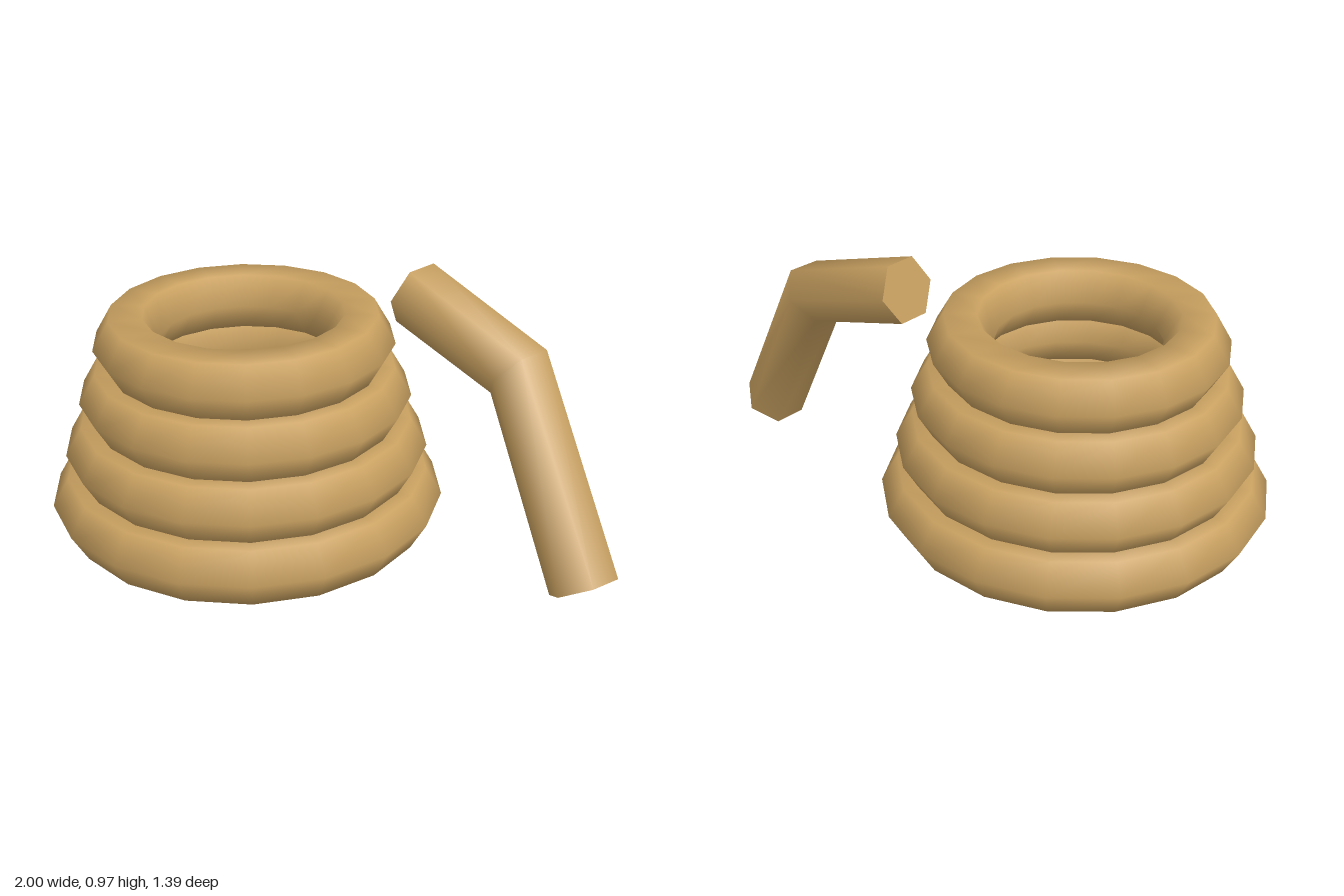
import * as THREE from 'three';

const ROPE = 0.118; // rope radius, six-sided section

// Bent rope piece: a six-sided cylinder whose three rings are placed along a path
function bentRope(points) {
  const [p0, p1, p2] = points;
  const first = p1.clone().sub(p0).normalize();
  const last = p2.clone().sub(p1).normalize();
  const middle = first.clone().add(last).normalize();
  const side = new THREE.Vector3(0, 1, 0).cross(middle).normalize();

  const frames = [first, middle, last].map((t, i) => {
    const b = side.clone().addScaledVector(t, -side.dot(t)).normalize();
    const n = t.clone().cross(b);
    return { basis: new THREE.Matrix4().makeBasis(n, t, b), centre: points[i] };
  });

  const geo = new THREE.CylinderGeometry(ROPE, ROPE, 2, 6, 2);
  const pos = geo.attributes.position;
  const nor = geo.attributes.normal;
  const v = new THREE.Vector3();
  for (let i = 0; i < pos.count; i++) {
    v.fromBufferAttribute(pos, i);
    const { basis, centre } = frames[Math.round(v.y) + 1];
    v.setY(0).applyMatrix4(basis).add(centre);
    pos.setXYZ(i, v.x, v.y, v.z);
    v.fromBufferAttribute(nor, i).applyMatrix4(basis);
    nor.setXYZ(i, v.x, v.y, v.z);
  }
  return geo;
}

export function createModel() {
  const group = new THREE.Group();
  group.name = 'ropeCoil';
  const material = new THREE.MeshStandardMaterial({ color: 0xc8a060 });

  // Stacked rings, each smaller than the one below
  for (let i = 0; i < 4; i++) {
    const geo = new THREE.TorusGeometry(0.59 - i * 0.059, ROPE, 6, 18);
    geo.rotateX(-Math.PI / 2);
    const ring = new THREE.Mesh(geo, material);
    ring.name = `coilRing${i + 1}`;
    ring.position.set(-0.292, 0.102 + i * 0.194, 0);
    group.add(ring);
  }

  // Loose end hanging down beside the coil, listed from its low end up
  const tail = new THREE.Mesh(bentRope([
    new THREE.Vector3(0.893, 0.11, 0.59),
    new THREE.Vector3(0.655, 0.728, 0.294),
    new THREE.Vector3(0.3, 0.875, -0.003),
  ]), material);
  tail.name = 'looseEnd';
  group.add(tail);

  return group;
}
